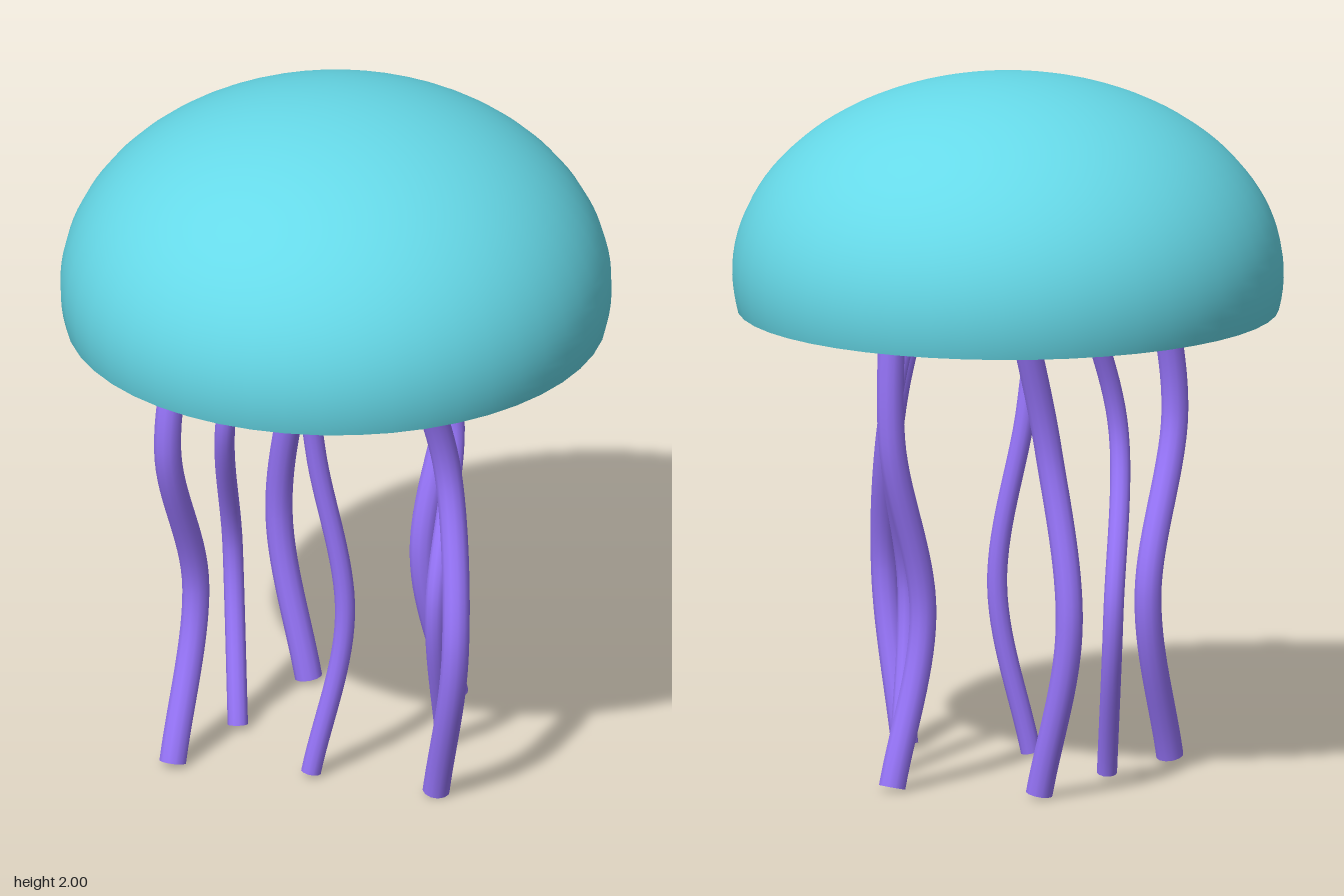
import * as THREE from 'three';

const bellMaterial = new THREE.MeshStandardMaterial({ color: 0x66d9e8, side: THREE.DoubleSide });
const purple = new THREE.MeshStandardMaterial({ color: 0x9775fa });

function addMesh(parent, name, geometry, material) {
  const mesh = new THREE.Mesh(geometry, material);
  mesh.name = name;
  parent.add(mesh);
  return mesh;
}

// Flat disc closing one end of a tentacle
function addCap(parent, curve, t, radius) {
  const cap = addMesh(parent, t ? 'tentacleTip' : 'tentacleRoot', new THREE.CircleGeometry(radius, 12), purple);
  const outward = curve.getTangentAt(t).multiplyScalar(t ? 1 : -1);
  cap.position.copy(curve.getPointAt(t));
  cap.quaternion.setFromUnitVectors(new THREE.Vector3(0, 0, 1), outward);
}

// Wavy tentacle, swaying according to its angle around the bell
function createTentacle(angle, spread, radius) {
  const c = Math.cos(angle), s = Math.sin(angle);
  const x = spread * c, z = spread * s;
  const curve = new THREE.CatmullRomCurve3([
    new THREE.Vector3(x, 1.4, z),
    new THREE.Vector3(x + 0.135 * s, 1.0, z),
    new THREE.Vector3(x - 0.12 * c + 0.03 * s, 0.5, z + 0.12 * s),
    new THREE.Vector3(x + 0.09 * s, 0.015, z),
  ]);
  const group = new THREE.Group();
  group.name = 'tentacle';
  addMesh(group, 'tentacleStem', new THREE.TubeGeometry(curve, 40, radius, 12), purple);
  addCap(group, curve, 0, radius);
  addCap(group, curve, 1, radius);
  return group;
}

export function createModel() {
  const model = new THREE.Group();
  model.name = 'jellyfish';

  // Open, flattened dome reaching slightly past its widest line
  const bell = addMesh(model, 'bell',
    new THREE.SphereGeometry(0.78, 48, 32, 0, Math.PI * 2, 0, Math.PI * 0.56), bellMaterial);
  bell.scale.y = 0.56 / 0.78;
  bell.position.y = 1.44;

  // Ring inside the bell's mouth
  const ring = addMesh(model, 'innerRing', new THREE.TorusGeometry(0.62, 0.06, 16, 48), purple);
  ring.rotation.x = Math.PI / 2;
  ring.position.y = 1.405;

  // Seven tentacles, alternating thick outer and thin inner ones
  const count = 7;
  for (let i = 0; i < count; i++) {
    const outer = i % 2 === 0;
    model.add(createTentacle((i / count) * Math.PI * 2, outer ? 0.45 : 0.26, outer ? 0.039 : 0.029));
  }
  return model;
}
